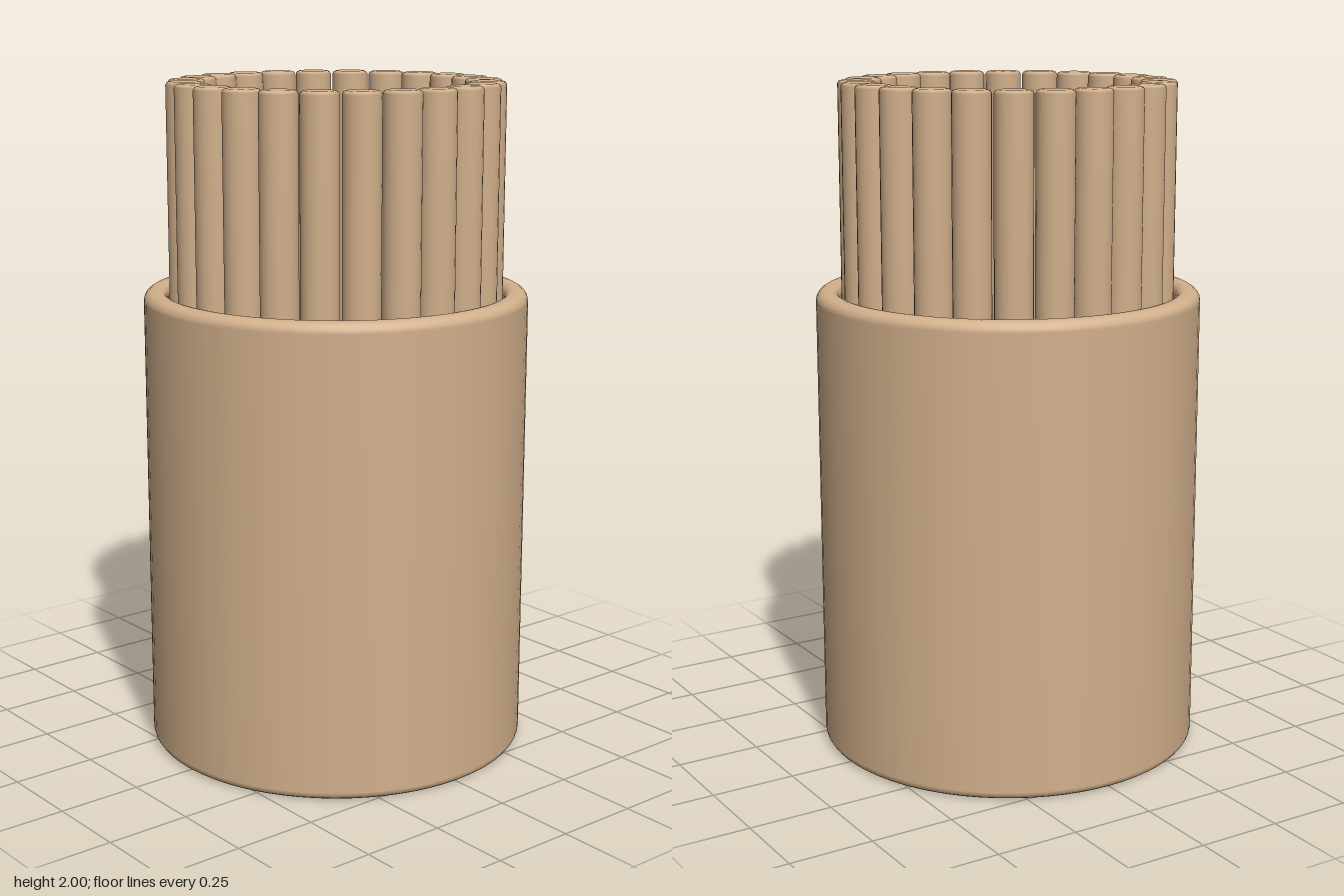
import * as THREE from 'three';

const STICKS = 24;
const RING_RADIUS = 0.44;
const STICK_RADIUS = 0.055;
const FLOOR = 0.07;

// Lathe a list of [radius, height] points
function lathe(points, segments) {
  return new THREE.LatheGeometry(points.map(([r, y]) => new THREE.Vector2(r, y)), segments);
}

// Points of a quarter-round edge about (cx, cy), angles in degrees
function arc(cx, cy, r, from, to, steps = 4) {
  const points = [];
  for (let i = 0; i <= steps; i++) {
    const a = THREE.MathUtils.degToRad(from + ((to - from) * i) / steps);
    points.push([cx + r * Math.cos(a), cy + r * Math.sin(a)]);
  }
  return points;
}

export function createModel() {
  const model = new THREE.Group();
  model.name = 'stickHolder';
  const tan = new THREE.MeshStandardMaterial({ color: 0xd2b08c });
  tan.name = 'tan';

  // Thick round cup with softened rim and base, hollow inside
  const cup = new THREE.Mesh(lathe([
    [0, 0],
    [0.54, 0],
    ...arc(0.545, 0.025, 0.025, -90, 0),
    ...arc(0.54, 1.36, 0.03, 0, 90),
    ...arc(0.525, 1.365, 0.025, 90, 180),
    [0.5, FLOOR + 0.01],
    [0.495, FLOOR],
    [0, FLOOR],
  ], 72), tan);
  cup.name = 'cup';
  model.add(cup);

  // Ring of upright sticks standing against the inner wall
  const stickGeometry = lathe([
    [0, FLOOR],
    [STICK_RADIUS, FLOOR],
    [STICK_RADIUS, 1.99],
    [STICK_RADIUS - 0.004, 1.997],
    [STICK_RADIUS - 0.012, 2],
    [0, 2],
  ], 24);
  const sticks = new THREE.Group();
  sticks.name = 'sticks';
  for (let i = 0; i < STICKS; i++) {
    const angle = (i / STICKS) * Math.PI * 2;
    const stick = new THREE.Mesh(stickGeometry, tan);
    stick.name = `stick${i + 1}`;
    stick.position.set(RING_RADIUS * Math.sin(angle), 0, RING_RADIUS * Math.cos(angle));
    sticks.add(stick);
  }
  model.add(sticks);

  return model;
}
